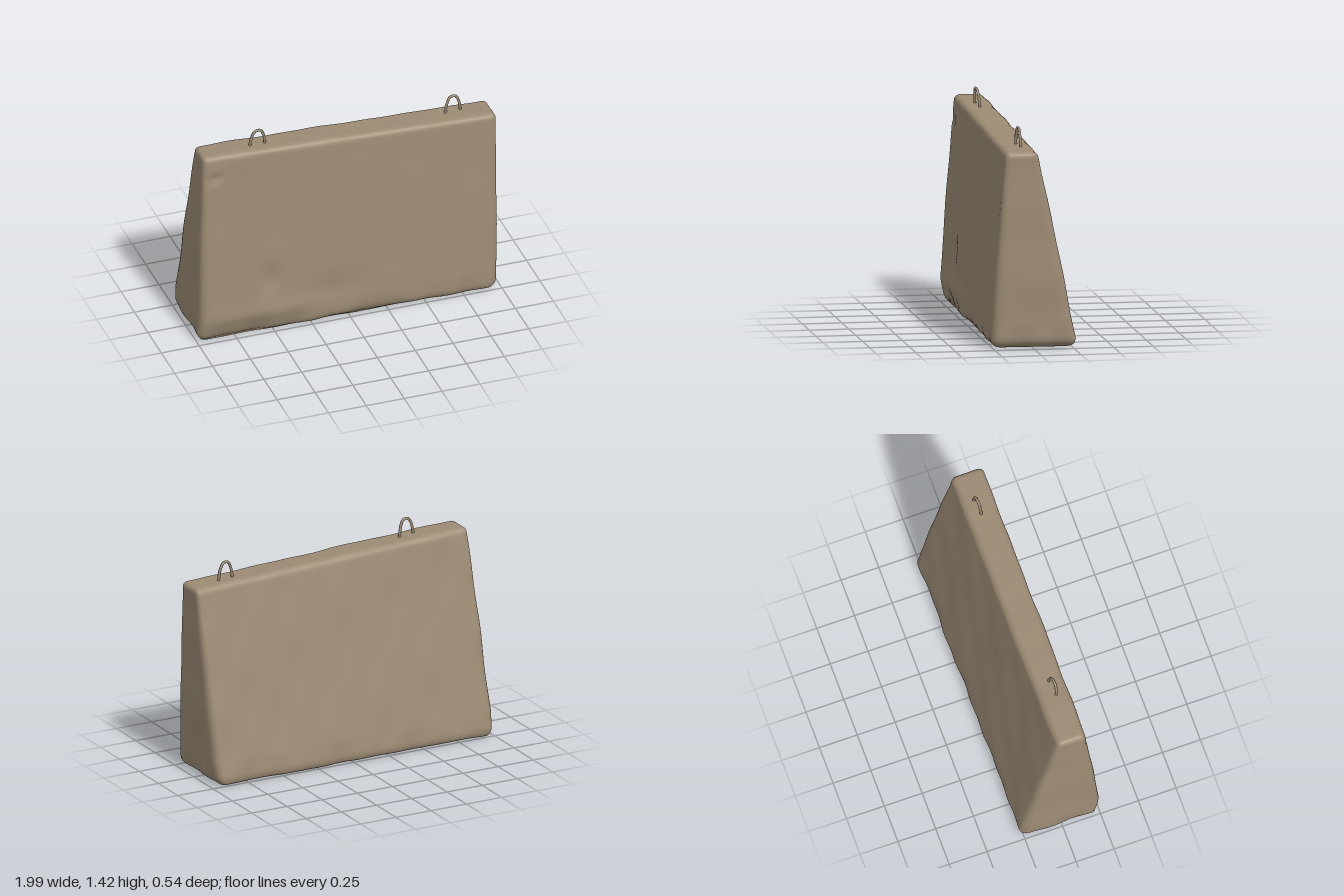
import * as THREE from 'three';
import { mergeVertices } from 'three/addons/utils/BufferGeometryUtils.js';

const { lerp, clamp } = THREE.MathUtils;

// Smooth, gentle unevenness of cast concrete
function bumps(x, y, z) {
  return 0.0035 * Math.sin(7 * x + 2 * y + 3 * z) * Math.cos(5 * y - 3 * x)
    + 0.0025 * Math.sin(17 * x - 6 * z + 1.3) * Math.sin(13 * y + 5 * x + 0.7);
}

// Soft round falloff used for dents
function spot(x, y, cx, cy, rx, ry) {
  return Math.exp(-(((x - cx) / rx) ** 2) - ((y - cy) / ry) ** 2);
}

// Top surface slopes down towards the left end
const topAt = (x) => lerp(1.325, 1.25, clamp((x + 0.95) / 1.93, 0, 1));

function slabGeometry() {
  let geo = new THREE.BoxGeometry(2, 2, 2, 64, 44, 18);
  geo.deleteAttribute('uv');
  geo.deleteAttribute('normal');
  const pos = geo.attributes.position;
  const q = new THREE.Vector3(), inner = new THREE.Vector3(), dir = new THREE.Vector3();
  const ease = (t) => Math.sin(t * Math.PI / 2); // crowd vertices near the edges
  for (let i = 0; i < pos.count; i++) {
    const u = ease(pos.getX(i)), v = (ease(pos.getY(i)) + 1) / 2, w = ease(pos.getZ(i));

    // Tapered wedge: wide foot, narrow top
    const x0 = lerp(-1.0, -0.945, v), x1 = lerp(0.975, 0.993, v);
    const x = lerp(x0, x1, (u + 1) / 2);
    const top = topAt(x), y = lerp(0.012, top, v);
    const h = y / 1.32;
    const zf = lerp(0.272, 0.176, h), zb = lerp(-0.287, -0.012, h);
    q.set(x, y, lerp(zb, zf, (w + 1) / 2));

    // Worn round edges, larger at the foot
    const r = lerp(0.065, 0.035, v);
    inner.set(clamp(x, x0 + r, x1 - r), clamp(y, 0.012 + r, top - r), clamp(q.z, zb + r, zf - r));
    dir.subVectors(q, inner).normalize();
    q.copy(inner).addScaledVector(dir, r + bumps(q.x, q.y, q.z));

    // Dents and chipped lower edge on the front
    if (dir.z > 0.3) {
      q.z -= 0.022 * spot(x, y, -0.52, 0.4, 0.07, 0.09)
        + 0.02 * spot(x, y, -0.87, 1.17, 0.05, 0.025)
        + 0.02 * spot(x, y, -0.1, 0.22, 0.16, 0.12)
        + 0.035 * spot(x, y, -0.75, 0.03, 0.35, 0.09)
        + 0.025 * spot(x, y, 0.1, 0.0, 0.3, 0.07);
      q.z += 0.012 * spot(x, y, -0.5, 0.17, 0.35, 0.06);
    }
    // Ragged foot
    const foot = Math.max(0, 1 - y / 0.16);
    q.z -= dir.z * foot * 0.01 * (1 + Math.sin(19 * x) * Math.sin(8 * x + 1));
    q.x -= dir.x * foot * 0.008 * (1 + Math.sin(23 * q.z));
    pos.setXYZ(i, q.x, Math.max(q.y, 0.008), q.z);
  }
  geo = mergeVertices(geo, 1e-4);
  geo.computeVertexNormals();
  return geo;
}

// Arched lifting eye standing in the top face
function liftingLoop(cx, cz, peak, lean, material) {
  const base = topAt(cx);
  const outline = [[-0.053, -0.03], [-0.048, 0.03], [-0.036, 0.075], [-0.018, 1], [0.018, 1],
    [0.036, 0.075], [0.048, 0.03], [0.053, -0.03]];
  const rise = peak - base - 0.008;
  const points = outline.map(([x, y]) => new THREE.Vector3(
    cx + x, base + (y === 1 ? rise - 0.003 : Math.min(y, rise * 0.78)), cz - x * 0.12 - lean * Math.max(y === 1 ? rise : y, 0)));
  const geo = new THREE.TubeGeometry(new THREE.CatmullRomCurve3(points), 32, 0.009, 8);
  return new THREE.Mesh(geo, material);
}

export function createModel() {
  const model = new THREE.Group();
  model.name = 'concreteBarrier';
  const concrete = new THREE.MeshStandardMaterial({ color: 0x9c8b74 });
  concrete.name = 'concrete';

  const slab = new THREE.Mesh(slabGeometry(), concrete);
  slab.name = 'slab';
  model.add(slab);

  const rightLoop = liftingLoop(-0.56, 0.09, 1.422, -0.08, concrete);
  rightLoop.name = 'rightLiftingLoop';
  const leftLoop = liftingLoop(0.742, 0.06, 1.375, 0, concrete);
  leftLoop.name = 'leftLiftingLoop';
  model.add(rightLoop, leftLoop);
  return model;
}
